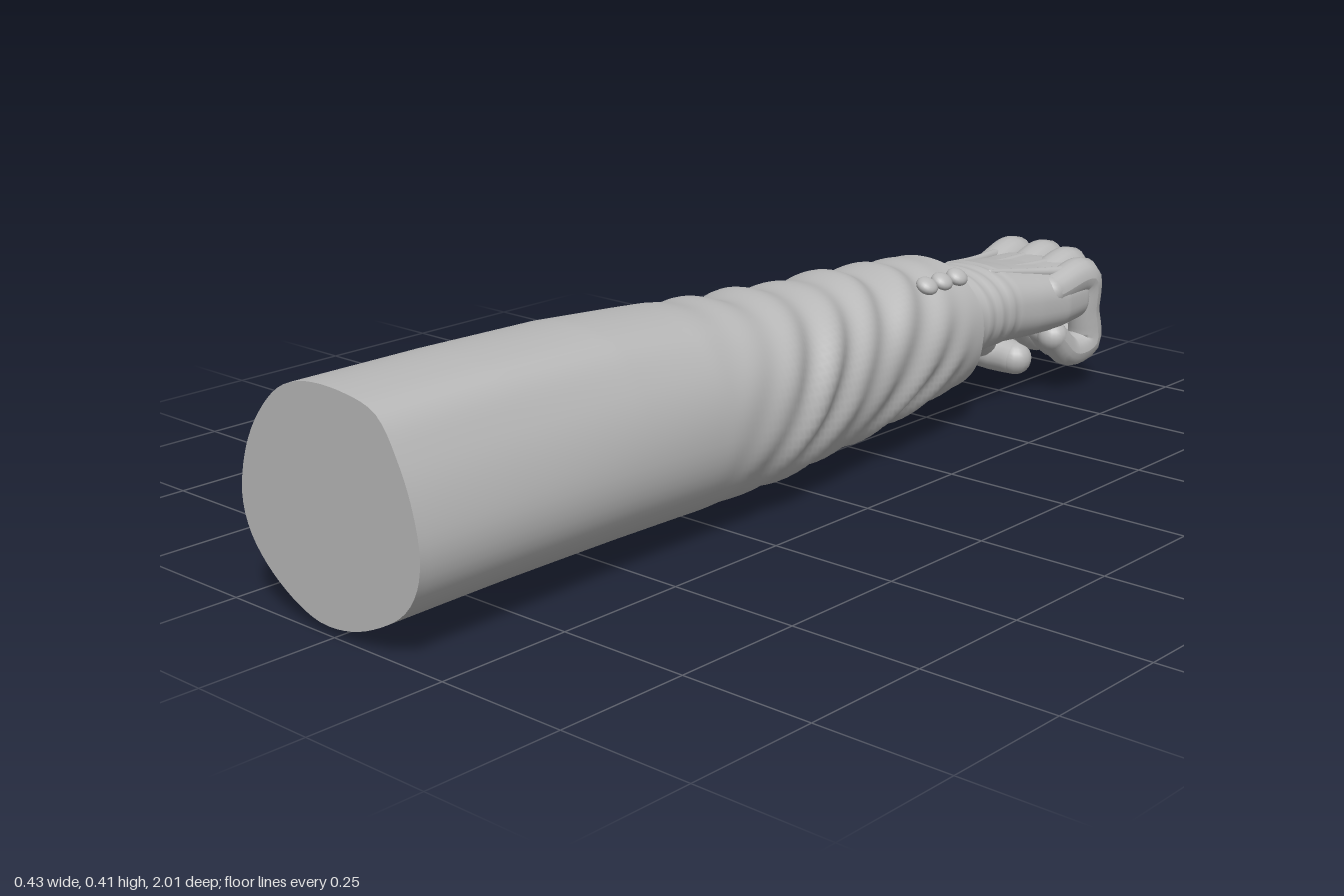
import * as THREE from 'three';

const grey = new THREE.MeshStandardMaterial({ color: 0xb8b8b8, side: THREE.DoubleSide });
grey.name = 'plain grey';

const N = 72;
const smooth = THREE.MathUtils.smoothstep;

// Upper-arm outline, counter-clockwise from the +x side, scaled to about -1..1
const outline = new THREE.CatmullRomCurve3([
  [1, -0.15], [0.95, 0.2], [0.82, 0.56], [0.6, 0.9], [0.25, 1], [-0.22, 0.99], [-0.5, 0.87], [-0.78, 0.56],
  [-0.94, 0.22], [-1, -0.15], [-0.93, -0.42], [-0.75, -0.66], [-0.45, -0.88], [-0.15, -0.99], [0.18, -0.97],
  [0.5, -0.85], [0.8, -0.65], [0.95, -0.42],
].map(([x, y]) => new THREE.Vector3(x, y, 0)), true);
const outlinePoints = outline.getSpacedPoints(N);

// Rounded section: power 1 is an ellipse, below 1 is boxier
function oval(a, power = 1) {
  const f = (v) => Math.sign(v) * Math.pow(Math.abs(v), power);
  return [f(Math.cos(a)), f(Math.sin(a))];
}

// Skin over rings whose keys are [z, xMin, xMax, yMin, yMax], running towards -z
function loft(keys, steps, section, swell = () => 0) {
  const pos = [], index = [];
  const rings = (keys.length - 1) * steps;
  for (let i = 0; i <= rings; i++) {
    const k = Math.min(Math.floor(i / steps), keys.length - 2);
    const t = i / steps - k;
    const [z, x0, x1, y0, y1] = keys[k].map((v, n) => THREE.MathUtils.lerp(v, keys[k + 1][n], t));
    for (let j = 0; j < N; j++) {
      const a = (j / N) * Math.PI * 2;
      const [u, v] = section(a, z, j);
      const s = swell(a, z);
      pos.push((x0 + x1) / 2 + u * ((x1 - x0) / 2 + s), (y0 + y1) / 2 + v * ((y1 - y0) / 2 + s), z);
      if (i < rings) {
        const p = i * N + j, q = i * N + (j + 1) % N;
        index.push(p, p + N, q, q, p + N, q + N);
      }
    }
  }
  const g = new THREE.BufferGeometry();
  g.setAttribute('position', new THREE.Float32BufferAttribute(pos, 3));
  g.setIndex(index);
  g.computeVertexNormals();
  return g;
}

// Tapered round limb along a path of [x, y, z, radius], with ball ends
function limb(name, path) {
  const group = new THREE.Group();
  group.name = name;
  const curve = new THREE.CatmullRomCurve3(path.map((p) => new THREE.Vector3(p[0], p[1], p[2])), false, 'centripetal');
  const segs = 28, sides = 18;
  const g = new THREE.TubeGeometry(curve, segs, 1, sides);
  const P = g.attributes.position, Nn = g.attributes.normal;
  for (let i = 0; i <= segs; i++) {
    const t = curve.getUtoTmapping(i / segs) * (path.length - 1);
    const k = Math.min(Math.floor(t), path.length - 2);
    const r = THREE.MathUtils.lerp(path[k][3], path[k + 1][3], t - k);
    const c = curve.getPointAt(i / segs);
    for (let j = 0; j <= sides; j++) {
      const n = i * (sides + 1) + j;
      P.setXYZ(n, c.x + Nn.getX(n) * r, c.y + Nn.getY(n) * r, c.z + Nn.getZ(n) * r);
    }
  }
  g.computeVertexNormals();
  group.add(new THREE.Mesh(g, grey));
  for (const p of [path[0], path[path.length - 1]]) {
    const ball = new THREE.Mesh(new THREE.SphereGeometry(p[3], 18, 12), grey);
    ball.position.set(p[0], p[1], p[2]);
    group.add(ball);
  }
  return group;
}

export function createModel() {
  const model = new THREE.Group();
  model.name = 'sleevedArm';
  const add = (name, geometry) => {
    const mesh = new THREE.Mesh(geometry, grey);
    mesh.name = name;
    model.add(mesh);
    return mesh;
  };

  // Jacket sleeve with slanted folds, turned in at the cuff
  const sleeveSection = (a, z, j) => {
    const w = smooth(z, 0.0, 0.9);
    const [u, v] = oval(Math.atan2(outlinePoints[j].y, outlinePoints[j].x), 0.92);
    return [THREE.MathUtils.lerp(u, outlinePoints[j].x, w), THREE.MathUtils.lerp(v, outlinePoints[j].y, w)];
  };
  const folds = (a, z) => {
    const s = z + 0.13 * Math.sin(a) - 0.06 * Math.cos(a) + 0.02 * Math.sin(2 * a + 1);
    const strength = smooth(z, -0.48, -0.36) * (1 - smooth(z, 0.02, 0.34));
    const wave = Math.sin(s * 52) + 0.35 * Math.sin(s * 31 + 2 * a);
    return 0.0085 * strength * wave * (0.75 + 0.25 * Math.sin(3 * a + z * 9));
  };
  add('sleeve', loft([
    [1, -0.214, 0.212, 0.015, 0.406],
    [0.75, -0.208, 0.206, 0.016, 0.406],
    [0.5, -0.199, 0.202, 0.017, 0.402],
    [0.3, -0.19, 0.2, 0.017, 0.388],
    [0.12, -0.18, 0.194, 0.02, 0.368],
    [-0.05, -0.174, 0.175, 0.026, 0.355],
    [-0.2, -0.17, 0.157, 0.037, 0.35],
    [-0.35, -0.167, 0.152, 0.052, 0.34],
    [-0.49, -0.155, 0.142, 0.064, 0.334],
  ], 14, sleeveSection, folds));
  add('sleeveHem', loft([
    [-0.489, -0.155, 0.142, 0.064, 0.334],
    [-0.491, -0.145, 0.132, 0.074, 0.324],
    [-0.4, -0.14, 0.128, 0.078, 0.32],
  ], 3, sleeveSection));

  // Flat end of the sleeve
  const cap = new THREE.ShapeGeometry(new THREE.Shape(outlinePoints.slice(0, N).map(
    (p) => new THREE.Vector2(-0.001 + p.x * 0.213, 0.2105 + p.y * 0.1955))));
  add('sleeveEnd', cap).position.z = 1;

  // Three sleeve buttons
  for (const z of [-0.46, -0.412, -0.365]) {
    const button = add('sleeveButton', new THREE.SphereGeometry(0.022, 20, 14));
    button.scale.y = 0.65;
    button.position.set(0.097, 0.315, z);
    button.rotation.z = -0.5;
  }

  // Shirt cuff
  add('shirtCuff', loft([
    [-0.4, -0.128, 0.124, 0.085, 0.312],
    [-0.522, -0.125, 0.121, 0.088, 0.31],
    [-0.526, -0.119, 0.115, 0.096, 0.304],
    [-0.44, -0.115, 0.112, 0.1, 0.302],
  ], 4, (a) => oval(a, 0.95)));

  // Wrist and palm, lightly creased at the wrist
  add('wristAndPalm', loft([
    [-0.42, -0.108, 0.108, 0.12, 0.298],
    [-0.55, -0.112, 0.112, 0.118, 0.3],
    [-0.65, -0.112, 0.115, 0.128, 0.293],
    [-0.72, -0.128, 0.127, 0.128, 0.28],
    [-0.8, -0.138, 0.137, 0.128, 0.27],
    [-0.87, -0.135, 0.135, 0.135, 0.268],
    [-0.92, -0.11, 0.11, 0.155, 0.258],
    [-0.935, 0, 0, 0.205, 0.206],
  ], 10, (a, z) => oval(a, THREE.MathUtils.lerp(0.75, 0.95, smooth(z, -0.75, -0.55))),
  (a, z) => 0.0025 * Math.sin(z * 170 + 2 * Math.cos(a)) * smooth(z, -0.67, -0.63)));

  // Curled fingers and the tendons leading to them
  const fingers = [
    ['indexFinger', -0.1, -0.935, 0.042],
    ['middleFinger', -0.03, -0.95, 0.042],
    ['ringFinger', 0.042, -0.932, 0.041],
    ['littleFinger', 0.106, -0.885, 0.037],
  ];
  for (const [name, x, z, r] of fingers) {
    model.add(limb(name, [
      [x * 0.95, 0.225, z + 0.11, r * 0.9],
      [x, 0.238, z, r * 1.06],
      [x, 0.165, z - 0.012, r * 0.86],
      [x * 0.96, 0.098, z - 0.02, r],
      [x * 0.93, 0.085, z + 0.035, r * 0.88],
      [x * 0.9, 0.125, z + 0.085, r * 0.85],
    ]));
    model.add(limb('tendon', [
      [x * 0.5, 0.285, -0.63, 0.006],
      [x * 0.75, 0.267, -0.75, 0.009],
      [x * 0.95, 0.258, z + 0.06, 0.012],
    ]));
  }

  // Thumb folded beneath the fingers
  model.add(limb('thumb', [
    [-0.075, 0.2, -0.64, 0.05],
    [-0.125, 0.165, -0.71, 0.058],
    [-0.153, 0.115, -0.775, 0.05],
    [-0.142, 0.06, -0.84, 0.042],
    [-0.1, 0.042, -0.868, 0.041],
    [-0.045, 0.036, -0.87, 0.035],
  ]));
  // Fleshy thumb base on the palm side
  model.add(limb('thumbBase', [
    [-0.03, 0.175, -0.64, 0.045],
    [-0.07, 0.13, -0.73, 0.05],
    [-0.1, 0.085, -0.81, 0.042],
  ]));

  return model;
}
